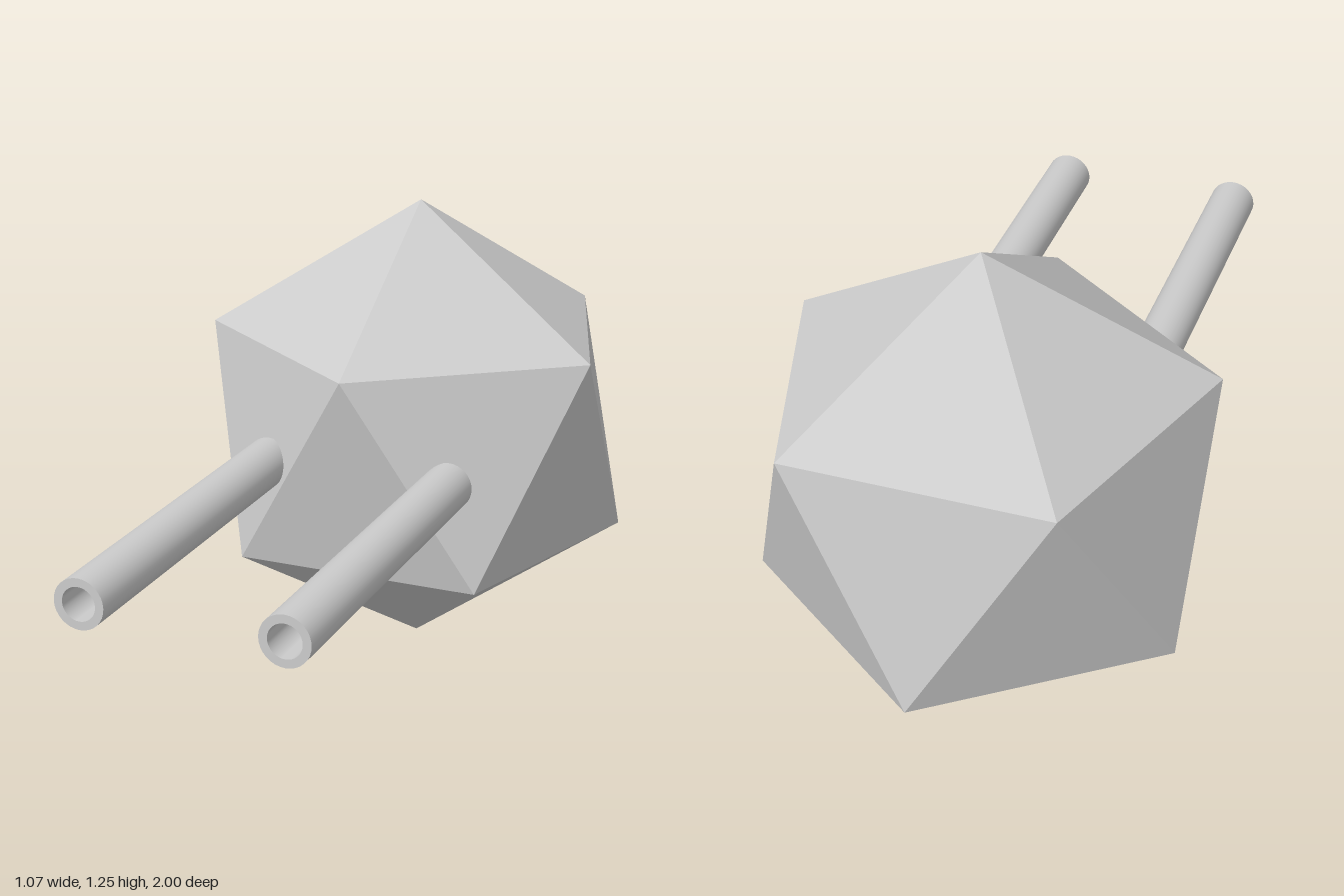
import * as THREE from 'three';
import { toCreasedNormals } from 'three/addons/utils/BufferGeometryUtils.js';

export function createModel() {
  const model = new THREE.Group();
  model.name = 'twinBarrelTurret';
  const CENTER_Y = 0.626;

  // Faceted body: icosahedron standing on a vertex, upper ring pointing forward
  const bodyGeometry = new THREE.IcosahedronGeometry(0.626, 0);
  bodyGeometry.rotateX(-Math.atan((1 + Math.sqrt(5)) / 2));
  const body = new THREE.Mesh(
    bodyGeometry,
    new THREE.MeshStandardMaterial({ color: 0xcccccc, flatShading: true })
  );
  body.name = 'body';
  body.position.set(0, CENTER_Y, -0.44);
  model.add(body);

  // Hollow barrel: closed ring profile (outer wall, muzzle, bore, breech)
  const outer = 0.0625, inner = 0.0417, length = 1;
  const profile = [[outer, 0], [outer, length], [inner, length], [inner, 0], [outer, 0]]
    .map(([r, y]) => new THREE.Vector2(r, y));
  const barrelGeometry = toCreasedNormals(new THREE.LatheGeometry(profile, 32), 0.6);
  barrelGeometry.rotateX(Math.PI / 2);
  const barrelMaterial = new THREE.MeshStandardMaterial({ color: 0xcccccc });

  // Mirrored pair of barrels
  for (const side of [1, -1]) {
    const barrel = new THREE.Mesh(barrelGeometry, barrelMaterial);
    barrel.name = side > 0 ? 'leftBarrel' : 'rightBarrel';
    barrel.position.set(side * 0.25, CENTER_Y + 0.002, 0);
    model.add(barrel);
  }
  return model;
}
